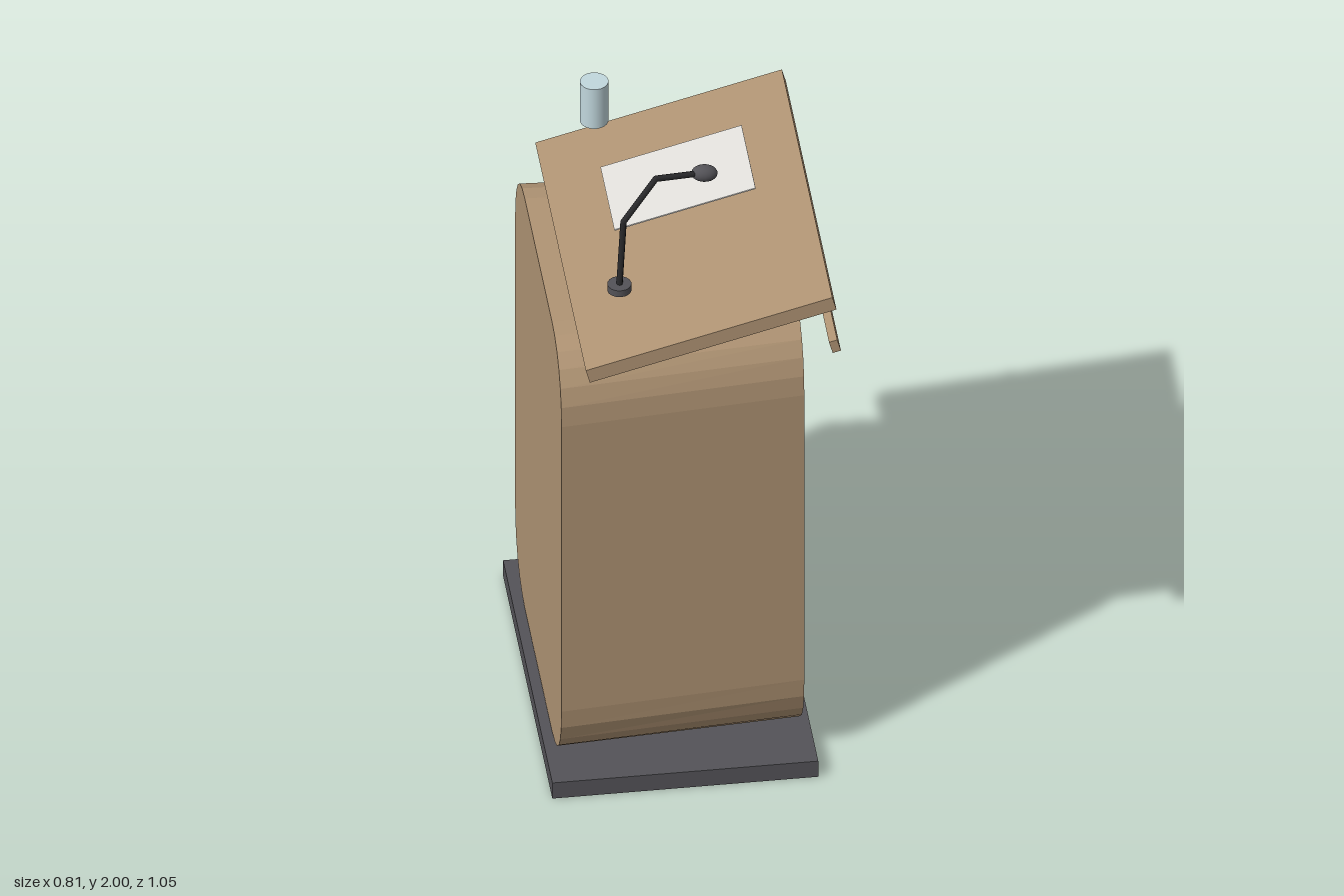
import * as THREE from 'three';

const mat = (name, color, flat = false) => {
  const m = new THREE.MeshStandardMaterial({ color, flatShading: flat });
  m.name = name;
  return m;
};

export function createModel() {
  const wood = mat('wood', 0xb09474, true);
  const charcoal = mat('charcoal', 0x545358);
  const black = mat('black', 0x29292b);
  const blue = mat('panel blue', 0x108cc2);
  const white = mat('paper white', 0xe2e0dc);
  const glass = mat('pale glass', 0xc2d8de);
  const tilt = Math.PI / 12;

  const group = new THREE.Group();
  group.name = 'lectern';

  const add = (name, geometry, material, x, y, z, rz = 0) => {
    const mesh = new THREE.Mesh(geometry, material);
    mesh.name = name;
    mesh.position.set(x, y, z);
    mesh.rotation.z = rz;
    group.add(mesh);
    return mesh;
  };
  const box = (name, material, [w, h, d], [x, y, z], rz = 0) =>
    add(name, new THREE.BoxGeometry(w, h, d), material, x, y, z, rz);

  // Floor plate
  box('base', charcoal, [0.75, 0.055, 1.03], [-0.035, 0.0275, 0]);

  // Body: rounded outline run from back to front, narrowing towards +x
  const w = 0.485, y0 = 0.06, y1 = 1.503, rz = 0.2, ry = 0.22;
  const outline = new THREE.Shape();
  outline.moveTo(-w + rz, y0);
  outline.lineTo(w - rz, y0);
  outline.bezierCurveTo(w - rz * 0.4, y0, w, y0 + ry * 0.4, w, y0 + ry);
  outline.lineTo(w, y1 - ry);
  outline.bezierCurveTo(w, y1 - ry * 0.4, w - rz * 0.4, y1, w - rz, y1);
  outline.lineTo(-w + rz, y1);
  outline.bezierCurveTo(-w + rz * 0.4, y1, -w, y1 - ry * 0.4, -w, y1 - ry);
  outline.lineTo(-w, y0 + ry);
  outline.bezierCurveTo(-w, y0 + ry * 0.4, -w + rz * 0.4, y0, -w + rz, y0);
  const depth = 0.692;
  const bodyGeo = new THREE.ExtrudeGeometry(outline, { depth, bevelEnabled: false, curveSegments: 6 });
  bodyGeo.rotateY(Math.PI / 2);
  const p = bodyGeo.attributes.position;
  for (let i = 0; i < p.count; i++) {
    p.setZ(i, p.getZ(i) * (1 - 0.113 * p.getX(i) / depth));
  }
  bodyGeo.computeVertexNormals();
  add('body', bodyGeo, wood, -0.38, 0, 0);

  // Sloping desk, detached ledge and sheet of paper
  box('desktop', wood, [0.72, 0.045, 1.055], [0.036, 1.58, 0], tilt);
  box('ledge', wood, [0.024, 0.04, 1.03], [0.387, 1.512, 0], tilt);
  box('paper', white, [0.412, 0.004, 0.29], [0.037, 1.62, -0.17], tilt);

  // Side panel with a pale bar
  box('panel', blue, [0.014, 0.39, 0.645], [0.318, 0.925, 0]);
  box('panelBar', white, [0.005, 0.06, 0.445], [0.3255, 0.92, 0]);

  // Drinking glass
  add('glass', new THREE.CylinderGeometry(0.04, 0.04, 0.138, 20), glass, -0.17, 1.746, -0.39);

  // Microphone: foot, three straight stem pieces, oval head
  add('microphoneFoot', new THREE.CylinderGeometry(0.034, 0.034, 0.022, 16), charcoal, -0.2, 1.665, 0.36);
  const stem = [[-0.2, 1.67, 0.36], [-0.187, 1.885, 0.35], [-0.09, 1.993, 0.306], [0.05, 1.977, 0.276]]
    .map(v => new THREE.Vector3(...v));
  for (let i = 0; i < stem.length - 1; i++) {
    const path = new THREE.LineCurve3(stem[i], stem[i + 1]);
    add('microphoneStem' + (i + 1), new THREE.TubeGeometry(path, 1, 0.009, 8), black, 0, 0, 0);
    add('microphoneJoint' + (i + 1), new THREE.SphereGeometry(0.009, 8, 6), black, ...stem[i + 1].toArray());
  }
  const head = add('microphoneHead', new THREE.SphereGeometry(0.025, 16, 12), charcoal, 0.051, 1.976, 0.276, -0.1);
  head.scale.x = 1.5;

  return group;
}
